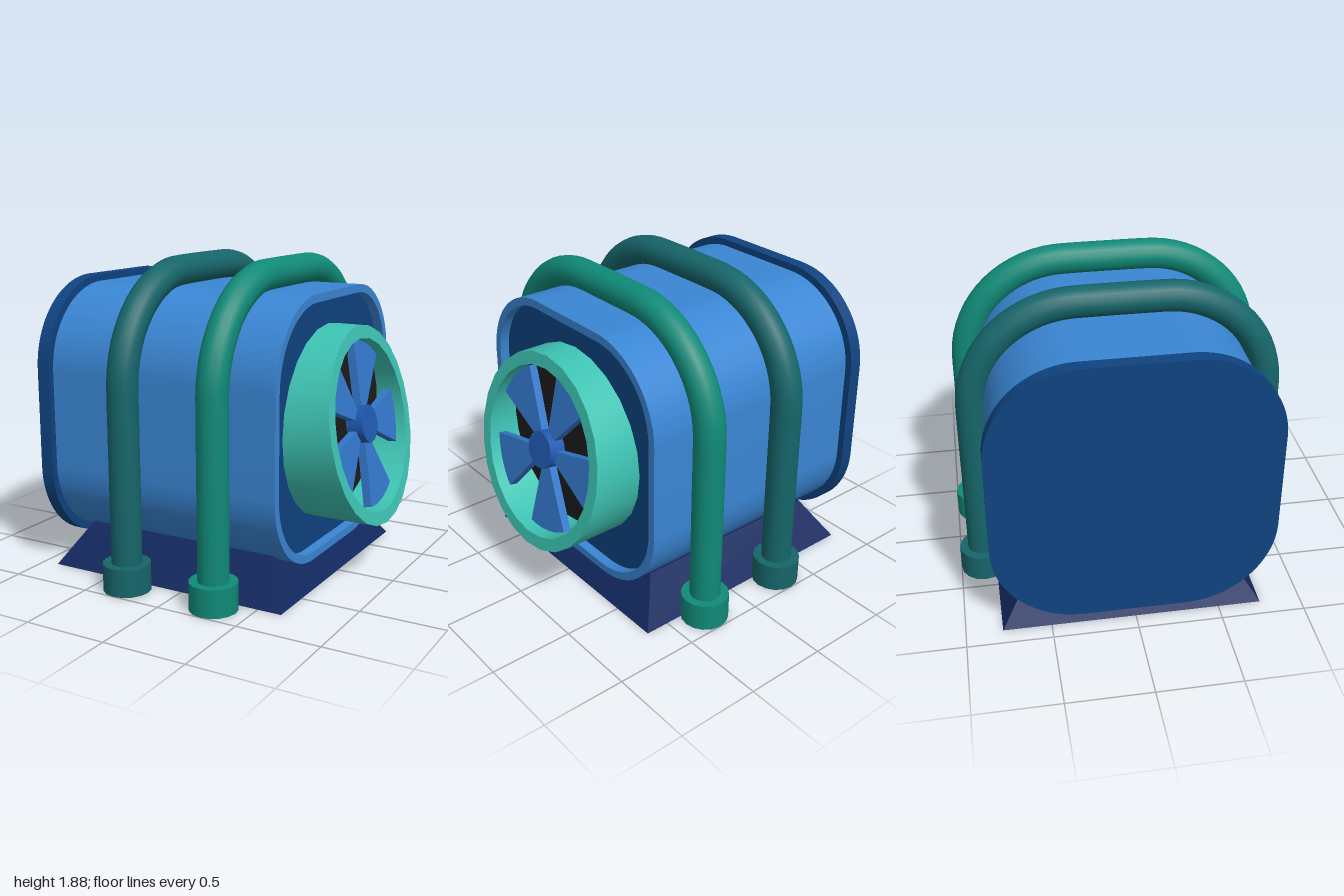
import * as THREE from 'three';
import { toCreasedNormals } from 'three/addons/utils/BufferGeometryUtils.js';

const CY = 0.925, CZ = -0.015;   // axis of the casing and fan
const SLOPE = 0.183;             // slant of the duct opening

function add(parent, name, geometry, color) {
  const mesh = new THREE.Mesh(geometry, new THREE.MeshStandardMaterial({ color }));
  mesh.name = name;
  parent.add(mesh);
  return mesh;
}

// Square outline with rounded corners, centred on the origin
function roundedSquare(half, r, target = new THREE.Shape()) {
  const c = half - r;
  [[c, c], [-c, c], [-c, -c], [c, -c]].forEach(([x, y], i) =>
    target.absarc(x, y, r, i * Math.PI / 2, (i + 1) * Math.PI / 2, false));
  target.closePath();
  return target;
}

// Extrude a shape along x, from x0 to x1, on the casing axis
function extrudeX(shape, x0, x1) {
  const g = new THREE.ExtrudeGeometry(shape, { depth: x1 - x0, bevelEnabled: false, curveSegments: 12 });
  g.rotateY(Math.PI / 2);
  g.translate(x0, CY, CZ);
  return toCreasedNormals(g, 0.6);
}

function createFan() {
  const fan = new THREE.Group();
  fan.name = 'fan';
  const hub = new THREE.CylinderGeometry(0.11, 0.11, 0.1, 24);
  hub.rotateX(Math.PI / 2);
  add(fan, 'fanHub', hub, 0x1f5ab2).position.z = -0.01;
  for (let i = 0; i < 5; i++) {
    const mid = THREE.MathUtils.degToRad(-5 + 72 * i), half = 0.34;
    const s = new THREE.Shape();
    s.absarc(0, 0, 0.08, mid - half, mid + half, false);
    s.absarc(0, 0, 0.49, mid + half, mid - half, true);
    s.closePath();
    const g = new THREE.ExtrudeGeometry(s, { depth: 0.05, bevelEnabled: false, curveSegments: 5 });
    add(fan, 'fanBlade', g, 0x3478cc).position.z = -0.05;
  }
  // Face +x, tilted to match the slanted opening
  fan.rotation.set(-Math.atan(SLOPE), Math.PI / 2, 0, 'YXZ');
  fan.position.set(0.78, CY, CZ);
  return fan;
}

function createHoop(x, color) {
  const hoop = new THREE.Group();
  hoop.name = 'pipeHoop';
  const z = 0.86, top = 1.79, r = 0.61;
  const path = new THREE.Path();
  path.moveTo(z, 0.02);
  path.lineTo(z, 0.6);
  path.absarc(z - r, top - r, r, 0, Math.PI / 2, false);
  path.absarc(r - z, top - r, r, Math.PI / 2, Math.PI, false);
  path.lineTo(-z, 0.6);
  path.lineTo(-z, 0.02);
  const pts = path.getPoints(10).map(p => new THREE.Vector3(0, p.y, p.x));
  const curve = new THREE.CatmullRomCurve3(pts, false, 'centripetal');
  add(hoop, 'pipe', new THREE.TubeGeometry(curve, 80, 0.09, 16), color);
  for (const side of [-1, 1]) {
    add(hoop, 'pipeFoot', new THREE.CylinderGeometry(0.14, 0.14, 0.165, 16), color)
      .position.set(0, 0.0825, side * z);
  }
  hoop.position.x = x;
  return hoop;
}

export function createModel() {
  const model = new THREE.Group();
  model.name = 'fanUnit';

  // Tapered base
  const base = new THREE.BoxGeometry(1.545, 0.25, 1.54);
  const p = base.attributes.position;
  for (let i = 0; i < p.count; i++) {
    if (p.getY(i) > 0) {
      p.setX(i, p.getX(i) * 0.797);
      p.setZ(i, p.getZ(i) * 0.78);
    }
  }
  base.computeVertexNormals();
  add(model, 'base', base, 0x12285f).position.set(-0.1275, 0.125, CZ);

  // Casing shell, recessed end panel and larger back plate
  const shell = roundedSquare(0.775, 0.49);
  shell.holes.push(roundedSquare(0.727, 0.442, new THREE.Path()));
  add(model, 'casing', extrudeX(shell, -0.87, 0.605), 0x3a86d4);
  add(model, 'endPanel', extrudeX(roundedSquare(0.727, 0.442), 0.5, 0.545), 0x0f4380);
  add(model, 'backPlate', extrudeX(roundedSquare(0.817, 0.52), -0.95, -0.87), 0x0f4380);

  // Duct ring, its outer end cut at a slant
  const profile = [[0.575, 0], [0.575, 1], [0.5, 1], [0.5, 0]].map(a => new THREE.Vector2(...a));
  const ring = new THREE.LatheGeometry(profile, 24);
  ring.rotateZ(-Math.PI / 2);
  const q = ring.attributes.position;
  for (let i = 0; i < q.count; i++) {
    q.setX(i, q.getX(i) > 0.5 ? 0.84 - SLOPE * q.getY(i) : 0.53);
  }
  add(model, 'ductRing', toCreasedNormals(ring, 0.6), 0x3dc2b2).position.set(0, CY, CZ);

  // Dark backing behind the fan
  const backing = new THREE.CylinderGeometry(0.5, 0.5, 0.1, 24);
  backing.rotateZ(-Math.PI / 2);
  add(model, 'ductBacking', backing, 0x1c1c1c).position.set(0.61, CY, CZ);
  model.add(createFan());

  // Pipes arching over the casing
  model.add(createHoop(-0.3, 0x16666a), createHoop(0.28, 0x108a78));
  return model;
}
